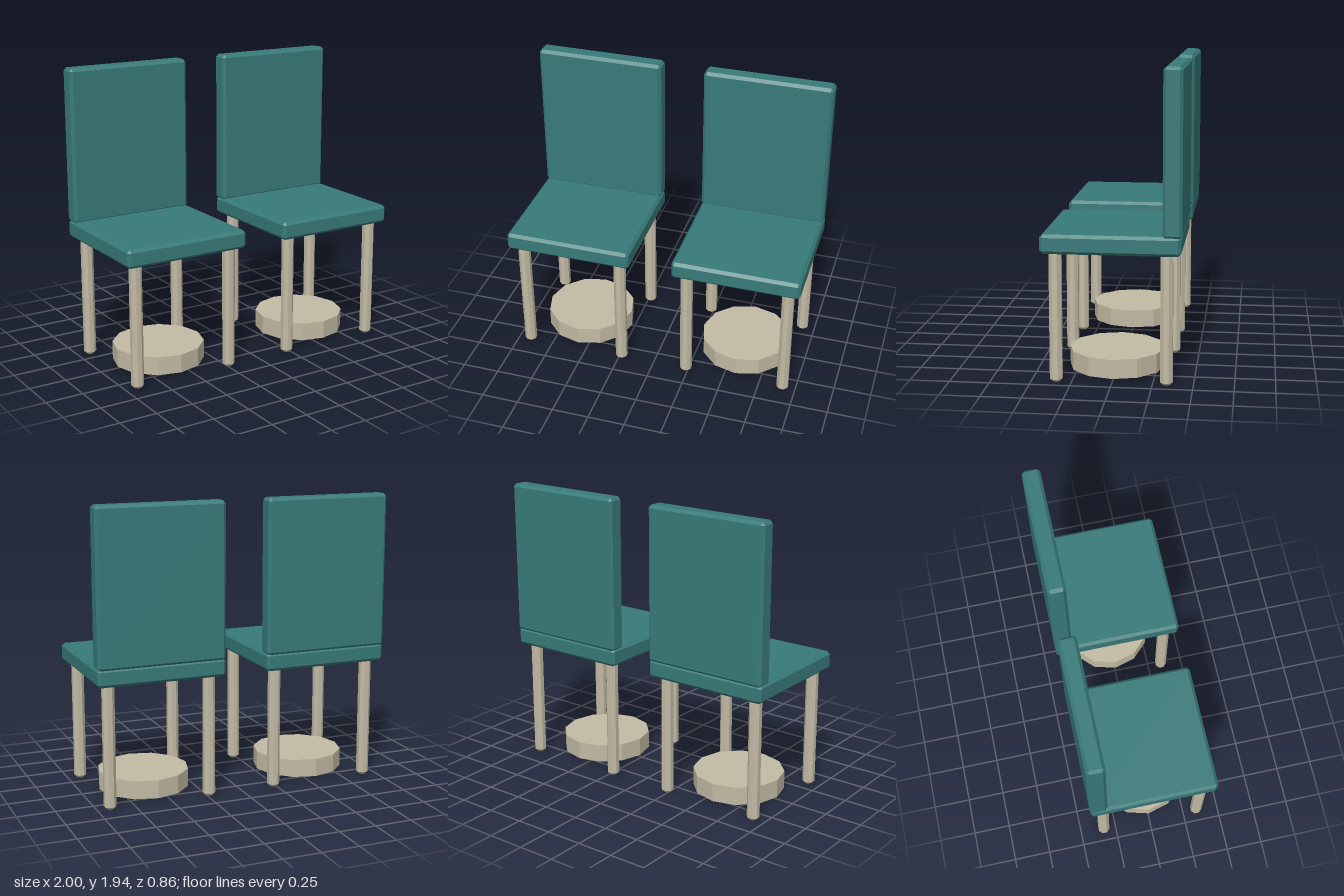
import * as THREE from 'three';
import { ConvexGeometry } from 'three/addons/geometries/ConvexGeometry.js';

const teal = new THREE.MeshStandardMaterial({ color: 0x377a78 });
teal.name = 'teal upholstery';
const beige = new THREE.MeshStandardMaterial({ color: 0xc2baa4 });
beige.name = 'beige frame';

// Box with every edge cut by a flat chamfer
function chamferBox(w, h, d, c) {
  const half = [w / 2, h / 2, d / 2];
  const points = [];
  for (const sx of [-1, 1]) for (const sy of [-1, 1]) for (const sz of [-1, 1]) {
    for (let full = 0; full < 3; full++) {
      const p = [sx, sy, sz].map((s, i) => s * (half[i] - (i === full ? 0 : c)));
      points.push(new THREE.Vector3(...p));
    }
  }
  return new ConvexGeometry(points);
}

// Faceted solid of revolution from a closed profile of [radius, y] pairs
function facetedLathe(profile, sides, turn = 0) {
  const g = new THREE.LatheGeometry(profile.map(([r, y]) => new THREE.Vector2(r, y)), sides);
  g.rotateY(turn);
  const flat = g.toNonIndexed();
  flat.computeVertexNormals();
  return flat;
}

function part(parent, name, geometry, material, x, y, z) {
  const mesh = new THREE.Mesh(geometry, material);
  mesh.name = name;
  mesh.position.set(x, y, z);
  parent.add(mesh);
}

function createChair() {
  const chair = new THREE.Group();

  // Cushioned seat and upright back
  part(chair, 'seat', chamferBox(0.854, 0.12, 0.855, 0.019), teal, 0, 0.879, 0.003);
  part(chair, 'backrest', chamferBox(0.854, 1.022, 0.118, 0.019), teal, 0, 1.436, -0.371);

  // Four octagonal legs with chamfered feet
  const r = 0.0415;
  const leg = facetedLathe([[0, 0], [0.023, 0], [r, 0.018], [r, 0.83], [0, 0.83]], 8, Math.PI / 8);
  for (const [side, sx] of [['Right', -1], ['Left', 1]]) {
    for (const [end, z] of [['front', 0.346], ['back', -0.335]]) {
      part(chair, `${end}${side}Leg`, leg, beige, sx * 0.34, 0.003, z);
    }
  }

  // Low twelve-sided disc between the legs
  const disc = new THREE.CylinderGeometry(0.305, 0.305, 0.122, 12).toNonIndexed();
  disc.computeVertexNormals();
  part(chair, 'baseDisc', disc, beige, 0, 0.075, 0.005);
  return chair;
}

export function createModel() {
  const model = new THREE.Group();
  model.name = 'chairPair';
  for (const [name, x] of [['rightChair', -0.573], ['leftChair', 0.573]]) {
    const chair = createChair();
    chair.name = name;
    chair.position.x = x;
    model.add(chair);
  }
  return model;
}
